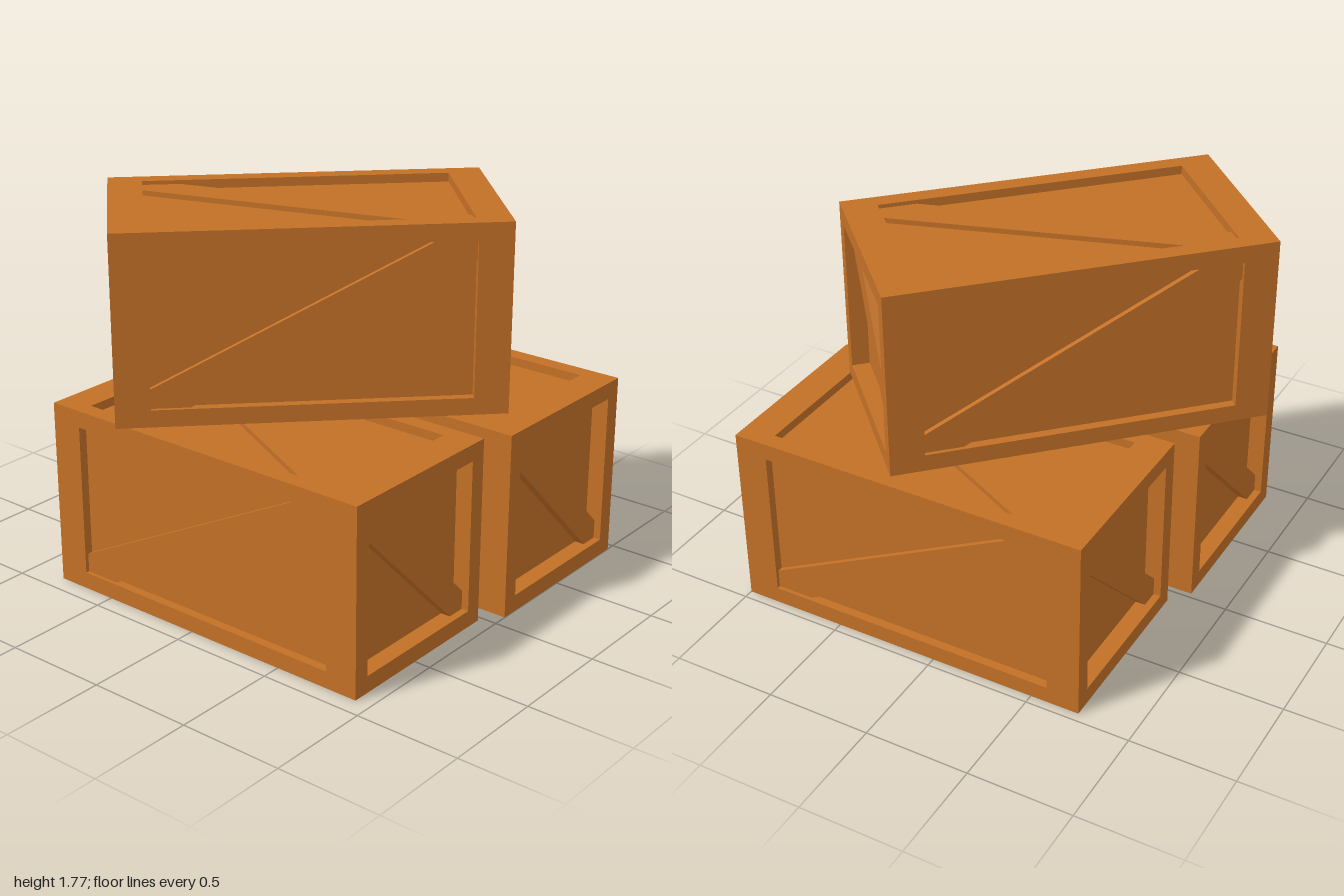
import * as THREE from 'three';

const S = 0.885;       // crate width and height
const LONG = 1.96;     // stretch along the crate's length
const BAR = 0.08;      // frame bar width
const RECESS = 0.042;  // depth of the panels behind the frame
const SLAT = 0.024;    // slat thickness
const CUT = 0.09;      // half width of the slat measured along the opening edge

export function createModel() {
  const wood = new THREE.MeshStandardMaterial({ color: 0xc27026 });
  wood.name = 'wood';

  const add = (parent, name, geometry) => {
    const mesh = new THREE.Mesh(geometry, wood);
    mesh.name = name;
    parent.add(mesh);
    return mesh;
  };

  // Diagonal slat: a band from the upper left to the lower right corner of a face
  const a = S / 2 - BAR;
  const band = new THREE.Shape([
    [-a, a], [-a, a - CUT], [a - CUT, -a], [a, -a], [a, -a + CUT], [-a + CUT, a],
  ].map(([x, y]) => new THREE.Vector2(x, y)));
  const slatGeometry = new THREE.ExtrudeGeometry(band, { depth: SLAT, bevelEnabled: false });
  slatGeometry.translate(0, 0, S / 2 - RECESS);

  // Face turns; the last angle spins the slat within its face
  const q = Math.PI / 2;
  const faces = [
    ['front', 0, 0, 0], ['back', 0, 2 * q, 0],
    ['left', 0, q, q], ['right', 0, -q, q],
    ['top', -q, 0, q], ['bottom', q, 0, q],
  ];

  const post = new THREE.BoxGeometry(BAR, S, BAR);
  const crossRail = new THREE.BoxGeometry(S - 2 * BAR, BAR, BAR);
  const sideRail = new THREE.BoxGeometry(BAR, BAR, S - 2 * BAR);
  const core = new THREE.BoxGeometry(S - 2 * RECESS, S - 2 * RECESS, S - 2 * RECESS);

  function createCrate(name, x, y, z, turn) {
    const crate = new THREE.Group();
    crate.name = name;
    add(crate, 'panels', core);

    // Twelve frame bars
    const e = (S - BAR) / 2;
    for (const i of [-e, e]) {
      for (const j of [-e, e]) {
        add(crate, 'cornerPost', post).position.set(i, 0, j);
        add(crate, 'crossRail', crossRail).position.set(0, i, j);
        add(crate, 'sideRail', sideRail).position.set(i, j, 0);
      }
    }

    // One slat on each face
    for (const [side, rx, ry, rz] of faces) {
      add(crate, side + 'Slat', slatGeometry).rotation.set(rx, ry, rz);
    }

    crate.scale.z = LONG;
    crate.rotation.y = turn;
    crate.position.set(x, y + S / 2, z);
    return crate;
  }

  const model = new THREE.Group();
  model.name = 'crateStack';
  model.add(
    createCrate('lowerRightCrate', -0.47, 0, 0.055, 0),
    createCrate('lowerLeftCrate', 0.513, 0, 0.132, 0),
    createCrate('upperCrate', -0.032, 0.888, -0.077, Math.PI / 4),
  );
  return model;
}
